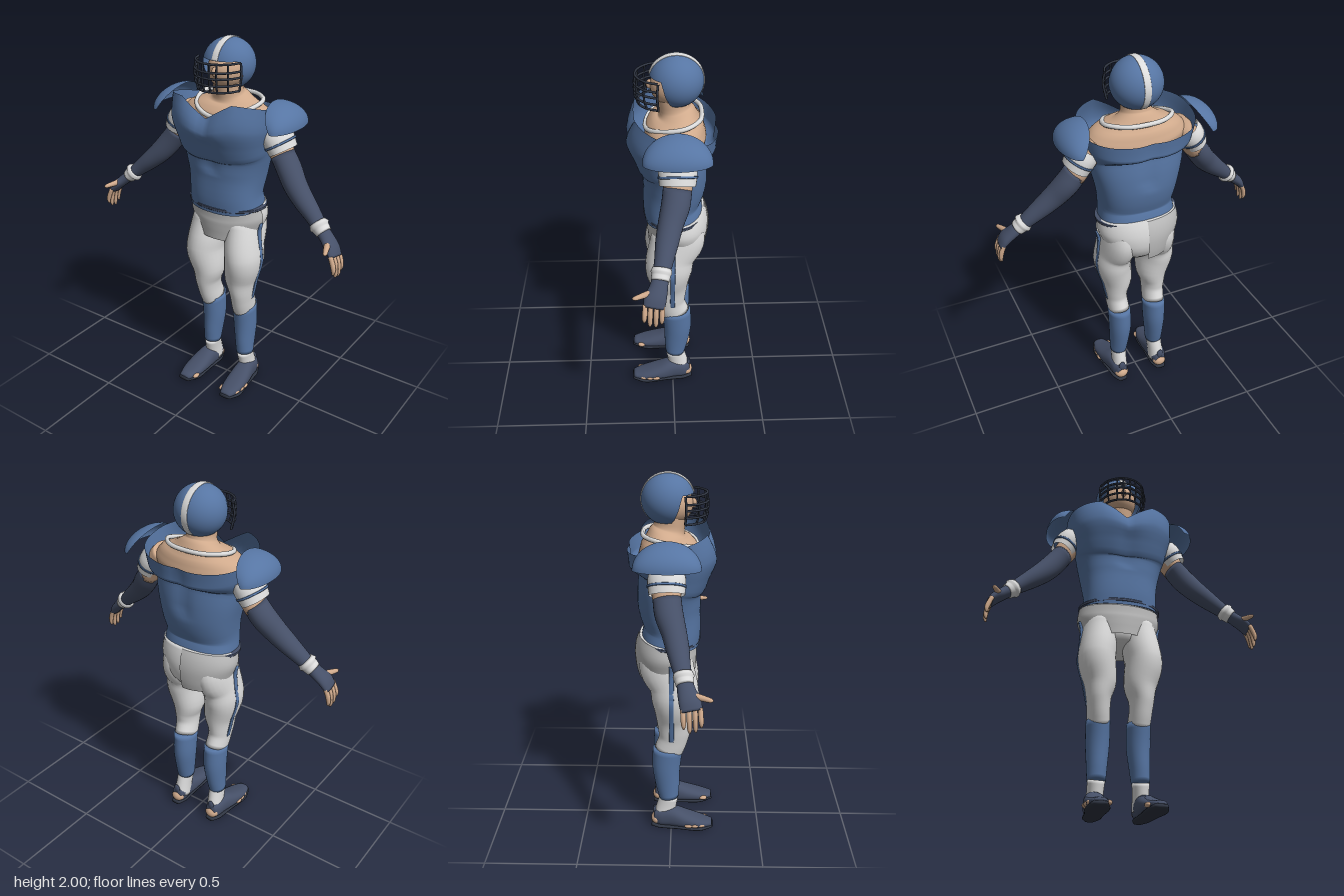
import * as THREE from 'three';

const mat = (name, color, side = THREE.FrontSide) => {
  const m = new THREE.MeshStandardMaterial({ color, side });
  m.name = name;
  return m;
};
const V = (x, y, z) => new THREE.Vector3(x, y, z);
const Z = V(0, 0, 1), Y = V(0, 1, 0), X = V(1, 0, 0);

// Smooth skin through elliptical sections [x, y, z, a, b]; b lies along ref
function loft(secs, { ref = Z, seg = 28, pow = 2, cap = true, arc = null, steps = 4, rule = null } = {}) {
  const mid = new THREE.CatmullRomCurve3(secs.map(s => V(s[0], s[1], s[2])));
  const rad = new THREE.CatmullRomCurve3(secs.map(s => V(s[3], s[4], 0)));
  const rows = (secs.length - 1) * steps, pos = [], idx = [];
  const cols = arc ? seg + 1 : seg;
  const [a0, a1] = arc || [0, Math.PI * 2];
  const bend = c => Math.sign(c) * Math.pow(Math.abs(c), 2 / pow);
  for (let i = 0; i <= rows; i++) {
    const p = mid.getPoint(i / rows), r = rad.getPoint(i / rows), t = mid.getTangent(i / rows);
    const w = ref.clone().addScaledVector(t, -ref.dot(t)).normalize();
    const u = w.clone().cross(t);
    for (let j = 0; j < cols; j++) {
      const ang = a0 + (a1 - a0) * j / seg;
      const v = p.clone().addScaledVector(u, r.x * bend(Math.cos(ang))).addScaledVector(w, r.y * bend(Math.sin(ang)));
      if (rule) rule(v);
      pos.push(v.x, v.y, v.z);
    }
  }
  for (let i = 0; i < rows; i++) for (let j = 0; j < seg; j++) {
    const k = (j + 1) % cols, a = i * cols + j, b = i * cols + k;
    idx.push(a, b, a + cols, b, b + cols, a + cols);
  }
  if (cap && !arc) [0, rows].forEach(i => {
    const p = mid.getPoint(i / rows), c = pos.length / 3;
    pos.push(p.x, p.y, p.z);
    for (let j = 0; j < seg; j++) {
      const a = i * cols + j, b = i * cols + (j + 1) % cols;
      if (i) idx.push(c, a, b); else idx.push(c, b, a);
    }
  });
  const g = new THREE.BufferGeometry();
  g.setAttribute('position', new THREE.Float32BufferAttribute(pos, 3));
  g.setIndex(idx);
  g.computeVertexNormals();
  return g;
}

function mirrored(g) {
  const m = g.clone().scale(-1, 1, 1), ix = m.index.array;
  for (let i = 0; i < ix.length; i += 3) [ix[i], ix[i + 1]] = [ix[i + 1], ix[i]];
  return m;
}

const ball = (x, y, z, a, b, c) => new THREE.SphereGeometry(1, 24, 16).scale(a, b, c).translate(x, y, z);
const tube = (pts, r, closed = false) =>
  new THREE.TubeGeometry(new THREE.CatmullRomCurve3(pts.map(p => V(...p)), closed), closed ? 64 : 24, r, 8, closed);

// Helmet shell: a sphere whose lower rim is raised over the face
function helmetShell() {
  const g = new THREE.SphereGeometry(1, 72, 32, 0, Math.PI * 2, 0, 3);
  const { position: p, normal: n, uv } = g.attributes;
  for (let i = 0; i < p.count; i++) {
    const a = uv.getX(i) * Math.PI * 2 - Math.PI / 2;
    const off = Math.abs(Math.atan2(Math.sin(a), Math.cos(a)));
    const th = (1 - uv.getY(i)) * (1.3 + 1.25 * THREE.MathUtils.smoothstep(off, 0.95, 1.35));
    const nx = Math.sin(th) * Math.sin(a), ny = Math.cos(th), nz = Math.sin(th) * Math.cos(a);
    n.setXYZ(i, nx, ny, nz);
    p.setXYZ(i, 0.134 * nx, 1.869 + 0.131 * ny, -0.018 + 0.135 * nz);
  }
  return g;
}

// Shoulder pad: a quarter dome, high on the inside and open below
function padShell() {
  const g = new THREE.SphereGeometry(1, 32, 16, Math.PI / 2, Math.PI, 0, Math.PI / 2);
  const p = g.attributes.position;
  for (let i = 0; i < p.count; i++) {
    const x = Math.abs(p.getX(i)), y = p.getY(i), z = p.getZ(i);
    const s = Math.sqrt(Math.max(0, 1 - z * z));
    p.setXYZ(i, 0.345 - 0.075 * s + 0.15 * x, 1.605 + 0.12 * y, -0.015 + 0.166 * z);
  }
  g.computeVertexNormals();
  return g;
}

export function createModel() {
  const blue = mat('team blue', 0x5675a3, THREE.DoubleSide);
  const navy = mat('navy fabric', 0x465068);
  const white = mat('white fabric', 0xdcdcdc, THREE.DoubleSide);
  const grey = mat('grey waist cloth', 0xbebebe, THREE.DoubleSide);
  const skin = mat('skin', 0xd0aa8c);
  const dark = mat('dark bars', 0x2f3542);
  const root = new THREE.Group();
  root.name = 'footballPlayer';
  const add = (name, g, m) => {
    const mesh = new THREE.Mesh(g, m);
    mesh.name = name;
    root.add(mesh);
  };
  const pair = (name, g, m) => {
    add(name + 'Left', g, m);
    add(name + 'Right', mirrored(g), m);
  };

  // Jersey, with a V neckline at the front and a shallow centre crease
  add('jersey', loft([
    [0, 1.13, -0.005, 0.205, 0.155], [0, 1.2, 0.005, 0.2, 0.15], [0, 1.32, -0.01, 0.217, 0.165],
    [0, 1.43, -0.008, 0.243, 0.17], [0, 1.5, 0.01, 0.262, 0.19], [0, 1.58, 0.008, 0.288, 0.23],
    [0, 1.68, -0.015, 0.302, 0.218]], {
    seg: 72, pow: 2.4, cap: false,
    rule: v => {
      if (v.y > 1.35) v.z *= 1 - 0.06 * Math.exp(-((v.x / 0.045) ** 2));
      if (v.y > 1.5 && v.z > 0.05) {
        const top = 1.605 + 0.075 * Math.min(1, Math.abs(v.x) / 0.15);
        v.y = 1.5 + (v.y - 1.5) * (top - 1.5) / 0.18;
      }
    }
  }), blue);
  add('jerseyHem', loft([[0, 1.128, -0.008, 0.226, 0.163], [0, 1.142, -0.008, 0.226, 0.163]], { seg: 48 }), navy);

  // Shoulders and neck
  add('shouldersAndNeck', loft([
    [0, 1.5, -0.01, 0.22, 0.14], [0, 1.6, -0.015, 0.265, 0.155], [0, 1.655, -0.02, 0.225, 0.135],
    [0, 1.695, -0.02, 0.13, 0.1], [0, 1.73, -0.012, 0.077, 0.08], [0, 1.82, 0, 0.075, 0.08]], { seg: 40 }), skin);
  add('collar', tube([
    [0, 1.63, 0.135], [0.1, 1.65, 0.11], [0.165, 1.675, 0.03], [0.175, 1.695, -0.06], [0.1, 1.7, -0.13],
    [0, 1.7, -0.145], [-0.1, 1.7, -0.13], [-0.175, 1.695, -0.06], [-0.165, 1.675, 0.03], [-0.1, 1.65, 0.11]],
    0.012, true), white);

  // Head and helmet
  add('face', ball(0, 1.845, 0, 0.095, 0.1, 0.11), skin);
  add('nose', ball(0, 1.85, 0.11, 0.014, 0.024, 0.018), skin);
  add('helmet', helmetShell(), blue);
  const stripe = [];
  for (let i = 0; i <= 12; i++) {
    const t = 1.28 - i * 3.7 / 12;
    stripe.push([0, 1.869 + 0.1305 * Math.cos(t), -0.018 + 0.1345 * Math.sin(t), 0.004, 0.018]);
  }
  add('helmetStripe', loft(stripe, { ref: X, seg: 12, pow: 3 }), white);

  // Face mask bars
  const bow = (y, k) => [-1, -0.8, -0.4, 0, 0.4, 0.8, 1].map(s => [0.132 * s * k, y, 0.04 + 0.145 * k * Math.sqrt(1 - s * s * 0.95)]);
  [[1.905, 0.96], [1.865, 1], [1.835, 1], [1.8, 0.98], [1.765, 0.9]].forEach(([y, k]) => add('maskBar', tube(bow(y, k), 0.006), dark));
  [-0.1, -0.055, -0.02, 0.02, 0.055, 0.1].forEach(x => {
    const z = 0.04 + 0.145 * Math.sqrt(1 - 0.95 * (x / 0.132) ** 2);
    add('maskUpright', tube([[x * 0.96, 1.905, z - 0.005], [x, 1.85, z], [x * 0.98, 1.8, z - 0.003], [x * 0.9, 1.765, z - 0.014]], 0.005), dark);
  });
  pair('maskHinge', tube([[0.127, 1.905, 0.07], [0.134, 1.85, 0.075], [0.12, 1.765, 0.07]], 0.006), dark);

  // Pads, cuffs and arms
  pair('shoulderPad', padShell(), blue);
  pair('upperArm', loft([[0.22, 1.6, -0.02, 0.06, 0.08], [0.28, 1.53, -0.02, 0.065, 0.078], [0.34, 1.43, -0.015, 0.056, 0.066]]), skin);
  pair('sleeveCuff', loft([
    [0.268, 1.575, -0.018, 0.07, 0.085], [0.295, 1.535, -0.017, 0.077, 0.094],
    [0.33, 1.475, -0.015, 0.068, 0.088]], { cap: false }), white);
  pair('cuffStripe', loft([[0.307, 1.516, -0.017, 0.079, 0.097], [0.313, 1.506, -0.017, 0.078, 0.096]]), blue);
  pair('armSleeve', loft([
    [0.327, 1.455, -0.015, 0.06, 0.07], [0.37, 1.395, -0.005, 0.062, 0.07], [0.425, 1.325, 0.02, 0.06, 0.062],
    [0.49, 1.262, 0.04, 0.052, 0.056], [0.55, 1.21, 0.055, 0.043, 0.047], [0.6, 1.165, 0.07, 0.034, 0.04]]), navy);
  pair('wristband', loft([[0.583, 1.182, 0.066, 0.043, 0.046], [0.605, 1.162, 0.071, 0.043, 0.046], [0.628, 1.142, 0.076, 0.038, 0.043]]), white);
  pair('glove', loft([
    [0.615, 1.153, 0.074, 0.033, 0.038], [0.655, 1.118, 0.085, 0.03, 0.045], [0.69, 1.085, 0.1, 0.027, 0.053],
    [0.715, 1.05, 0.108, 0.018, 0.05]]), navy);
  [0.066, 0.094, 0.122, 0.148].forEach((z, i) => {
    const tip = [0.965, 0.945, 0.95, 0.975][i];
    pair('finger', loft([
      [0.706, 1.065, z, 0.012, 0.012], [0.724, 1.02, z + 0.003, 0.013, 0.013],
      [0.73, tip + 0.02, z + 0.005, 0.011, 0.011], [0.727, tip, z + 0.006, 0.005, 0.005]], { seg: 10 }), skin);
  });
  pair('thumb', loft([
    [0.665, 1.11, 0.1, 0.018, 0.018], [0.683, 1.105, 0.15, 0.015, 0.015],
    [0.7, 1.1, 0.195, 0.011, 0.011], [0.702, 1.099, 0.207, 0.004, 0.004]], { ref: Y, seg: 12 }), skin);

  // Hips with a wrapped cloth
  add('hips', loft([
    [0, 0.91, -0.01, 0.13, 0.1], [0, 1.0, -0.03, 0.195, 0.155], [0, 1.07, -0.03, 0.22, 0.16],
    [0, 1.14, -0.02, 0.213, 0.15]], { seg: 40 }), white);
  add('waistCloth', loft([
    [0, 0.935, -0.025, 0.185, 0.155], [0, 1.0, -0.03, 0.206, 0.164], [0, 1.07, -0.03, 0.227, 0.166],
    [0, 1.135, -0.02, 0.219, 0.156]], { seg: 40, arc: [-1.6, 3.0] }), grey);

  // Legs
  pair('trouserLeg', loft([
    [0.108, 0.49, -0.015, 0.059, 0.08], [0.113, 0.56, 0.01, 0.06, 0.08], [0.115, 0.62, 0.018, 0.067, 0.09],
    [0.11, 0.7, 0.02, 0.088, 0.104], [0.128, 0.82, 0.022, 0.1, 0.128], [0.12, 0.9, 0.012, 0.099, 0.13],
    [0.11, 1.0, -0.025, 0.094, 0.145], [0.1, 1.08, -0.035, 0.09, 0.13]]), white);
  pair('sideStripe', loft([
    [0.172, 0.575, 0.003, 0.005, 0.013], [0.182, 0.62, 0.003, 0.005, 0.013], [0.198, 0.7, 0.003, 0.005, 0.013],
    [0.228, 0.82, 0.003, 0.005, 0.013], [0.219, 0.9, 0.003, 0.005, 0.013], [0.21, 1.0, 0.003, 0.008, 0.013],
    [0.222, 1.045, 0.003, 0.006, 0.013]], { seg: 12, pow: 3 }), blue);
  pair('sock', loft([
    [0.115, 0.185, -0.013, 0.048, 0.054], [0.112, 0.26, -0.02, 0.053, 0.066],
    [0.108, 0.38, -0.028, 0.062, 0.078], [0.108, 0.5, -0.019, 0.063, 0.084]]), blue);
  pair('ankle', loft([
    [0.122, 0.05, -0.045, 0.046, 0.06], [0.118, 0.12, -0.03, 0.042, 0.056], [0.115, 0.19, -0.013, 0.045, 0.052]]), white);

  // Shoes with bare heel and toes
  pair('shoe', loft([
    [0.125, 0.06, -0.1, 0.03, 0.045], [0.125, 0.06, -0.06, 0.047, 0.055], [0.13, 0.066, 0, 0.051, 0.06],
    [0.137, 0.053, 0.08, 0.06, 0.045], [0.142, 0.04, 0.16, 0.057, 0.03], [0.145, 0.034, 0.232, 0.033, 0.016]],
    { ref: Y, pow: 2.4 }), navy);
  pair('sole', loft([
    [0.125, 0.01, -0.112, 0.025, 0.01], [0.128, 0.01, -0.06, 0.046, 0.01], [0.135, 0.01, 0.05, 0.05, 0.01],
    [0.143, 0.012, 0.16, 0.06, 0.01], [0.146, 0.025, 0.236, 0.036, 0.01]], { ref: Y, pow: 3, seg: 20 }), dark);
  pair('heel', ball(0.125, 0.048, -0.083, 0.04, 0.034, 0.033), skin);
  pair('heelTab', ball(0.125, 0.105, -0.095, 0.02, 0.028, 0.01), navy);
  [[0.192, 0.1], [0.19, 0.135], [0.184, 0.17], [0.094, 0.185]].forEach(([x, z]) =>
    pair('toe', ball(x, 0.036, z, 0.015, 0.013, 0.024), skin));

  return root;
}
